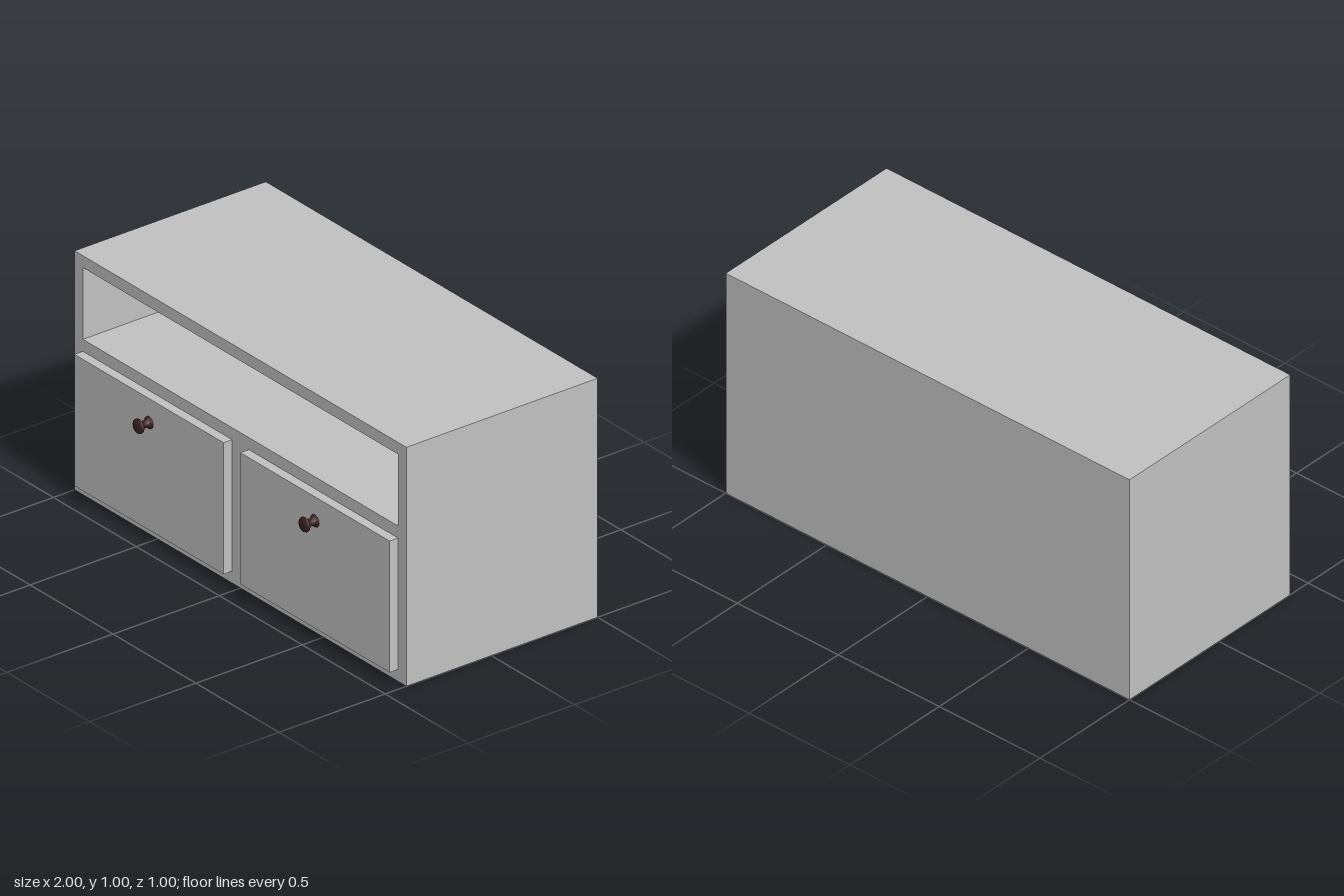
import * as THREE from 'three';

const grey = new THREE.MeshStandardMaterial({ color: 0xc0c0c0 });
grey.name = 'grey paint';
const brown = new THREE.MeshStandardMaterial({ color: 0x3c2020 });
brown.name = 'dark brown wood';

function part(name, geometry, material, x = 0, y = 0, z = 0) {
  const mesh = new THREE.Mesh(geometry, material);
  mesh.name = name;
  mesh.position.set(x, y, z);
  return mesh;
}

// Box without its front (+z) face; optionally turned to face inwards
function openBox(w, h, d, inward = false) {
  const geometry = new THREE.BoxGeometry(w, h, d);
  const index = Array.from(geometry.index.array).filter((_, i) => i < 24 || i >= 30);
  if (inward) index.reverse();
  geometry.setIndex(index);
  geometry.clearGroups();
  geometry.computeVertexNormals();
  return geometry;
}

function rectangle(target, x0, y0, x1, y1) {
  target.moveTo(x0, y0);
  target.lineTo(x1, y0);
  target.lineTo(x1, y1);
  target.lineTo(x0, y1);
  target.closePath();
  return target;
}

export function createModel() {
  const cabinet = new THREE.Group();
  cabinet.name = 'cabinet';

  // Carcass: outer shell, front frame and the open compartment behind it
  cabinet.add(part('outerShell', openBox(2, 1, 0.9), grey, 0, 0.5, -0.05));
  const frame = rectangle(new THREE.Shape(), -1, 0, 1, 1);
  frame.holes.push(rectangle(new THREE.Path(), -0.95, 0.65, 0.95, 0.95));
  cabinet.add(part('frontFrame', new THREE.ShapeGeometry(frame), grey, 0, 0, 0.4));
  cabinet.add(part('openCompartment', openBox(1.9, 0.3, 0.85, true), grey, 0, 0.8, -0.025));

  // Turned knob profile, from the foot on the drawer to the rounded head
  const profile = [
    [0.026, 0], [0.022, 0.006], [0.015, 0.012], [0.015, 0.032], [0.021, 0.039],
    [0.029, 0.044], [0.031, 0.05], [0.028, 0.056], [0.018, 0.059], [0, 0.06],
  ].map(([r, y]) => new THREE.Vector2(r, y));
  const knob = new THREE.LatheGeometry(profile, 12);
  knob.rotateX(Math.PI / 2);

  // Two drawer fronts with knobs
  for (const [side, x] of [['right', -0.5], ['left', 0.5]]) {
    const drawer = new THREE.Group();
    drawer.name = side + 'Drawer';
    drawer.add(part(side + 'DrawerFront', new THREE.BoxGeometry(0.9, 0.55, 0.04), grey, x, 0.325, 0.42));
    drawer.add(part(side + 'Knob', knob, brown, x, 0.5, 0.44));
    cabinet.add(drawer);
  }
  return cabinet;
}
